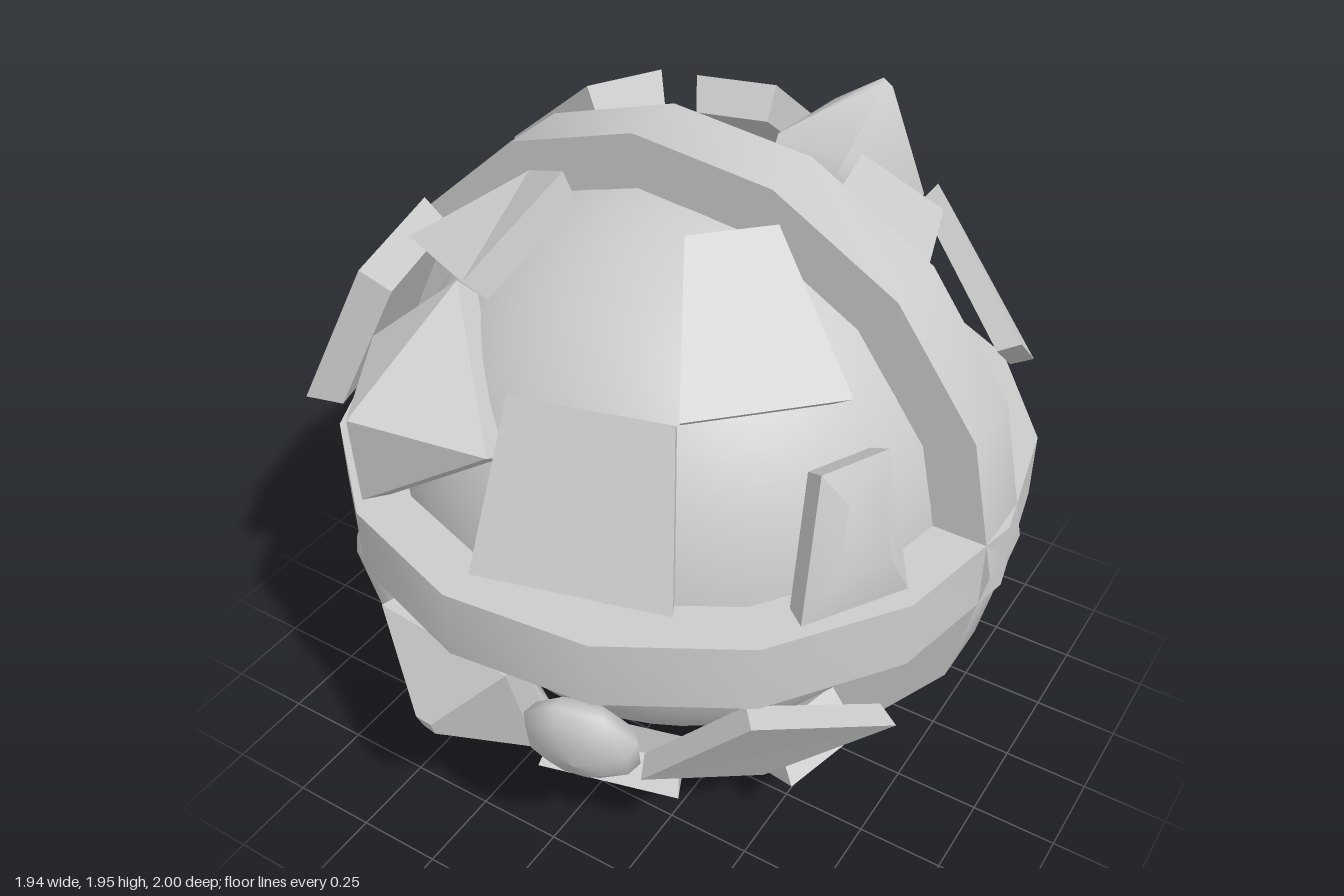
import * as THREE from 'three';
import { toCreasedNormals } from 'three/addons/utils/BufferGeometryUtils.js';

const MID = new THREE.Vector3(-0.01, 0.98, -0.01);
const SHELL = 1.01;
const V = (p) => new THREE.Vector3(...p);

export function createModel() {
  const group = new THREE.Group();
  const material = new THREE.MeshStandardMaterial({ color: 0xcccccc });

  function add(name, geometry, position = [0, 0, 0]) {
    const mesh = new THREE.Mesh(geometry, material);
    mesh.name = name;
    mesh.position.set(...position);
    group.add(mesh);
    return mesh;
  }

  // Four-sided solid lofted through loops of four points, from inside to outside
  function loft(loops, crease) {
    const points = [];
    const quad = (a, b, c, d) => points.push(a, b, c, a, c, d);
    for (let i = 0; i < loops.length - 1; i++) {
      for (let k = 0; k < 4; k++) {
        const n = (k + 1) % 4;
        quad(loops[i][k], loops[i][n], loops[i + 1][n], loops[i + 1][k]);
      }
    }
    const [a, b, c, d] = loops[0];
    quad(d, c, b, a);
    quad(...loops[loops.length - 1]);
    const geometry = new THREE.BufferGeometry().setFromPoints(points);
    geometry.computeVertexNormals();
    return crease ? toCreasedNormals(geometry, crease) : geometry;
  }

  // Put corners in anticlockwise order as seen from outside
  function outward(corners) {
    const [a, b, , d] = corners;
    const normal = b.clone().sub(a).cross(d.clone().sub(a));
    return normal.dot(a.clone().sub(MID)) < 0 ? corners.slice().reverse() : corners;
  }

  const shrink = (loop, k) => loop.map((p) => p.clone().sub(MID).multiplyScalar(k).add(MID));

  function plate(name, corners, k = 0.9, offset) {
    const outer = outward(corners);
    return add(name, loft([shrink(outer, k), outer]), offset);
  }

  // Shell cell, 30 degrees wide, in one of seven bands counted from the top
  function cell(name, longitude, band, offset) {
    const at = (lon, ring) =>
      new THREE.Vector3()
        .setFromSphericalCoords(SHELL, (ring * Math.PI) / 7, THREE.MathUtils.degToRad(lon))
        .add(MID);
    const east = longitude + 30;
    plate(name, [at(longitude, band), at(longitude, band + 1), at(east, band + 1), at(east, band)], 0.9, offset);
  }

  // Shard with a raised point (t near 1) or a raised flat top
  function shard(name, corners, peak, t, crease) {
    const outer = outward(corners.map(V));
    const cap = outer.map((p) => p.clone().lerp(V(peak), t));
    return add(name, loft([shrink(outer, 0.92), outer, cap], crease));
  }

  // Flattened smooth rock lying against the shell
  function rock(name, position, width, height, depth, spin) {
    const mesh = add(name, new THREE.SphereGeometry(1, 8, 6), position);
    mesh.geometry.rotateX(Math.PI / 2);
    mesh.geometry.scale(width, height, depth);
    mesh.geometry.computeVertexNormals();
    mesh.lookAt(V(position).multiplyScalar(2).sub(MID));
    mesh.rotateZ(spin);
  }

  // Core and the two crossing bands
  add('core', new THREE.SphereGeometry(0.82, 48, 32), MID.toArray());
  const section = [[0.83, -0.1], [0.98, -0.1], [0.98, 0.1], [0.83, 0.1], [0.83, -0.1]];
  const band = () =>
    toCreasedNormals(
      new THREE.LatheGeometry(section.map((p) => new THREE.Vector2(...p)), 15).rotateY(Math.PI / 2), 0.6);
  add('horizontalBand', band(), MID.toArray());
  add('verticalBand', band().rotateX(Math.PI / 2), MID.toArray());

  // Shell plates on the regular grid, some pushed off their place
  cell('upperFrontPlate', 0, 2);
  cell('topFrontPlate', 30, 1, [0.01, 0.01, 0]);
  cell('lowerFrontPlate', 0, 5, [0, -0.01, 0]);
  cell('upperSidePlate', -90, 2, [0.025, 0, 0.155]);
  cell('topBackPlate', 180, 1, [0, 0, -0.02]);
  cell('topBackSidePlate', -135, 1, [0, 0.01, -0.05]);
  cell('lowerBackPlate', 180, 4, [0, 0, 0.04]);

  // Tumbled plates
  plate('bottomBackPlate',
    [[0, 0.23, -0.68], [-0.38, 0.23, -0.58], [-0.22, 0.05, -0.25], [0, 0.05, -0.3]].map(V));
  plate('tumbledBackPlate',
    [[0.81, 1.38, -0.38], [0.46, 1.69, -0.54], [0.37, 1.435, -0.88], [0.74, 1.105, -0.73]].map(V), 0.93);
  plate('tumbledFrontPlate',
    [[0.66, 0.865, 0.775], [0.86, 0.6, 0.345], [0.52, 0.29, 0.44], [0.35, 0.52, 0.8]].map(V), 0.93);
  plate('tumbledTopPlate',
    [[-0.61, 1.66, 0.4], [-0.42, 1.78, 0.12], [-0.25, 1.86, 0.2], [-0.33, 1.68, 0.53]].map(V));
  plate('topSidePlate',
    [[0.61, 1.63, -0.15], [0.36, 1.83, -0.15], [0.32, 1.83, -0.34], [0.5, 1.64, -0.5]].map(V), 0.95);
  plate('lowerSidePlate',
    [[-0.97, 0.65, -0.25], [-0.87, 0.56, -0.66], [-0.55, 0.19, -0.6], [-0.66, 0.25, -0.1]].map(V), 0.92);
  plate('smallLowerPlate',
    [[0.67, 0.27, 0.14], [0.6, 0.27, 0.42], [0.4, 0.14, 0.3], [0.52, 0.14, 0.17]].map(V), 0.84);

  // Pointed and flat-topped shards
  shard('upperFrontShard',
    [[-0.61, 1.45, 0.58], [-0.39, 1.64, 0.48], [-0.09, 1.39, 0.78], [-0.47, 1.14, 0.84]],
    [-0.45, 1.42, 0.87], 0.98);
  shard('lowerFrontShard',
    [[-0.46, 0.775, 0.84], [-0.01, 0.78, 0.88], [-0.01, 0.415, 0.78], [-0.37, 0.45, 0.74]],
    [-0.22, 0.56, 1.0], 0.88);
  shard('lowerBackShard',
    [[0.81, 0.6, -0.26], [0.69, 0.86, -0.73], [0.37, 0.39, -0.82], [0.44, 0.28, -0.43]],
    [0.62, 0.52, -0.62], 0.9, 0.9);
  shard('sideShard',
    [[0.74, 1.19, 0.7], [0.71, 1.54, 0.58], [0.77, 1.49, 0.35], [0.86, 1.11, 0.37]],
    [0.83, 1.38, 0.52], 0.5, 0.6);
  shard('topBackShard',
    [[0.06, 1.78, -0.69], [0.06, 1.81, -0.36], [0.27, 1.79, -0.34], [0.41, 1.63, -0.57]],
    [0.25, 1.92, -0.63], 0.9, 0.9);
  shard('backShard',
    [[0, 1.18, -0.9], [0.38, 1.18, -0.86], [0.4, 0.82, -0.86], [0.02, 0.82, -0.9]],
    [0.19, 1.0, -1.12], 0.5, 0.9);
  shard('lowerSideShard',
    [[-0.67, 0.81, 0.65], [-0.9, 0.65, 0.42], [-0.76, 0.39, 0.39], [-0.53, 0.41, 0.64]],
    [-0.82, 0.54, 0.63], 0.45, 1.0);

  // Smooth rocks
  rock('frontRock', [0.22, 0.67, 0.87], 0.165, 0.17, 0.08, 0.3);
  rock('backRock', [-0.57, 1.38, -0.59], 0.17, 0.17, 0.08, 0.2);
  rock('lowerFrontRock', [-0.38, 0.22, 0.53], 0.25, 0.16, 0.09, -1.1);

  return group;
}
